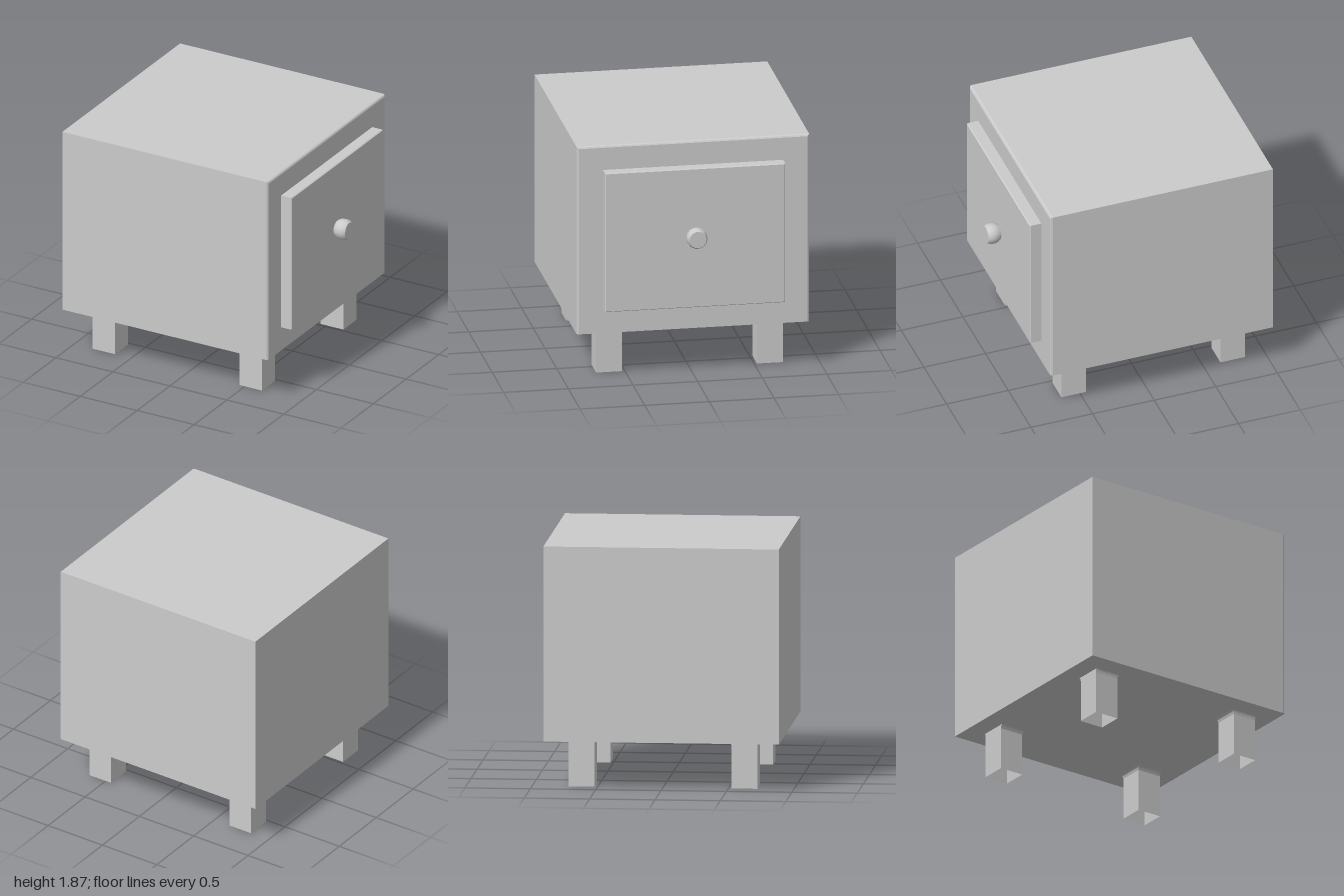
import * as THREE from 'three';

const grey = new THREE.MeshStandardMaterial({ color: 0xcccccc });
const greyThin = new THREE.MeshStandardMaterial({ color: 0xcccccc, side: THREE.DoubleSide });

// Four corners of a section across x, or across y, counterclockwise from the positive end
const acrossX = (x, y0, y1, z0, z1) => [[x, y0, z1], [x, y0, z0], [x, y1, z0], [x, y1, z1]];
const acrossY = (y, x0, x1, z0, z1) => [[x0, y, z1], [x1, y, z1], [x1, y, z0], [x0, y, z0]];

// Faceted skin through four-cornered sections; side "skip" stays open
function loft(rings, { caps = true, skip = -1 } = {}) {
  const pos = [];
  const quad = (a, b, c, d) => [a, b, c, a, c, d].forEach((p) => pos.push(...p));
  for (let r = 0; r < rings.length - 1; r++) {
    for (let i = 0; i < 4; i++) {
      if (i === skip) continue;
      const j = (i + 1) % 4;
      quad(rings[r][i], rings[r][j], rings[r + 1][j], rings[r + 1][i]);
    }
  }
  if (caps) {
    quad(...rings[rings.length - 1]);
    quad(...[...rings[0]].reverse());
  }
  const g = new THREE.BufferGeometry();
  g.setAttribute('position', new THREE.Float32BufferAttribute(pos, 3));
  g.computeVertexNormals();
  return g;
}

function rectangle(Type, x0, x1, z0, z1) {
  return new Type([[x0, z0], [x1, z0], [x1, z1], [x0, z1]].map(([x, z]) => new THREE.Vector2(x, z)));
}

export function createModel() {
  const model = new THREE.Group();
  model.name = 'bedsideCabinet';
  const add = (name, geometry, material = grey) => {
    const mesh = new THREE.Mesh(geometry, material);
    mesh.name = name;
    model.add(mesh);
    return mesh;
  };
  const base = 0.365, top = 1.865;

  // Cabinet shell, its door end slightly bevelled
  add('cabinet', loft([
    acrossX(-1, base, top, -0.9, 0.9),
    acrossX(0.785, base, top, -0.9, 0.9),
    acrossX(0.797, base, top - 0.005, -0.895, 0.895),
    acrossX(0.803, base, top - 0.016, -0.884, 0.884),
  ], { skip: 0 }));

  // Raised door panel with softened front edges
  add('door', loft([
    acrossX(0.8, 0.56, 1.672, -0.697, 0.697),
    acrossX(0.888, 0.56, 1.672, -0.697, 0.697),
    acrossX(0.896, 0.566, 1.666, -0.691, 0.691),
  ]));

  // Barrel-shaped knob
  const profile = [[0.062, 0], [0.075, 0.02], [0.081, 0.045], [0.081, 0.065], [0.076, 0.09], [0.066, 0.104]]
    .map(([r, h]) => new THREE.Vector2(r, h));
  const knob = add('knob', new THREE.LatheGeometry(profile, 14));
  knob.rotation.z = -Math.PI / 2;
  knob.position.set(0.896, 1.133, -0.003);
  const face = add('knobFace', new THREE.CircleGeometry(0.066, 14));
  face.rotation.y = Math.PI / 2;
  face.position.set(1, 1.133, -0.003);

  // Hollow legs flaring into the underside, which opens above each leg
  const floor = rectangle(THREE.Shape, -1, 0.803, -0.9, 0.9);
  for (const [x0, x1, flareLeft, flareRight] of [[-0.84, -0.64, 0, 0.02], [0.45, 0.65, 0.02, 0]]) {
    for (const side of [-1, 1]) {
      const section = (y, k) => {
        const z = [side * (0.522 - 0.018 * k), side * (0.722 + 0.006 * k)].sort((a, b) => a - b);
        return [y, x0 - flareLeft * k, x1 + flareRight * k, ...z];
      };
      const rings = [[0, 0], [0.335, 0], [0.355, 0.35], [base, 1]].map(([y, k]) => section(y, k));
      add('leg', loft(rings.map((s) => acrossY(...s)), { caps: false }), greyThin);
      floor.holes.push(rectangle(THREE.Path, ...rings[3].slice(1)));
    }
  }
  const underside = add('underside', new THREE.ShapeGeometry(floor));
  underside.rotation.x = Math.PI / 2;
  underside.position.y = base;

  return model;
}
